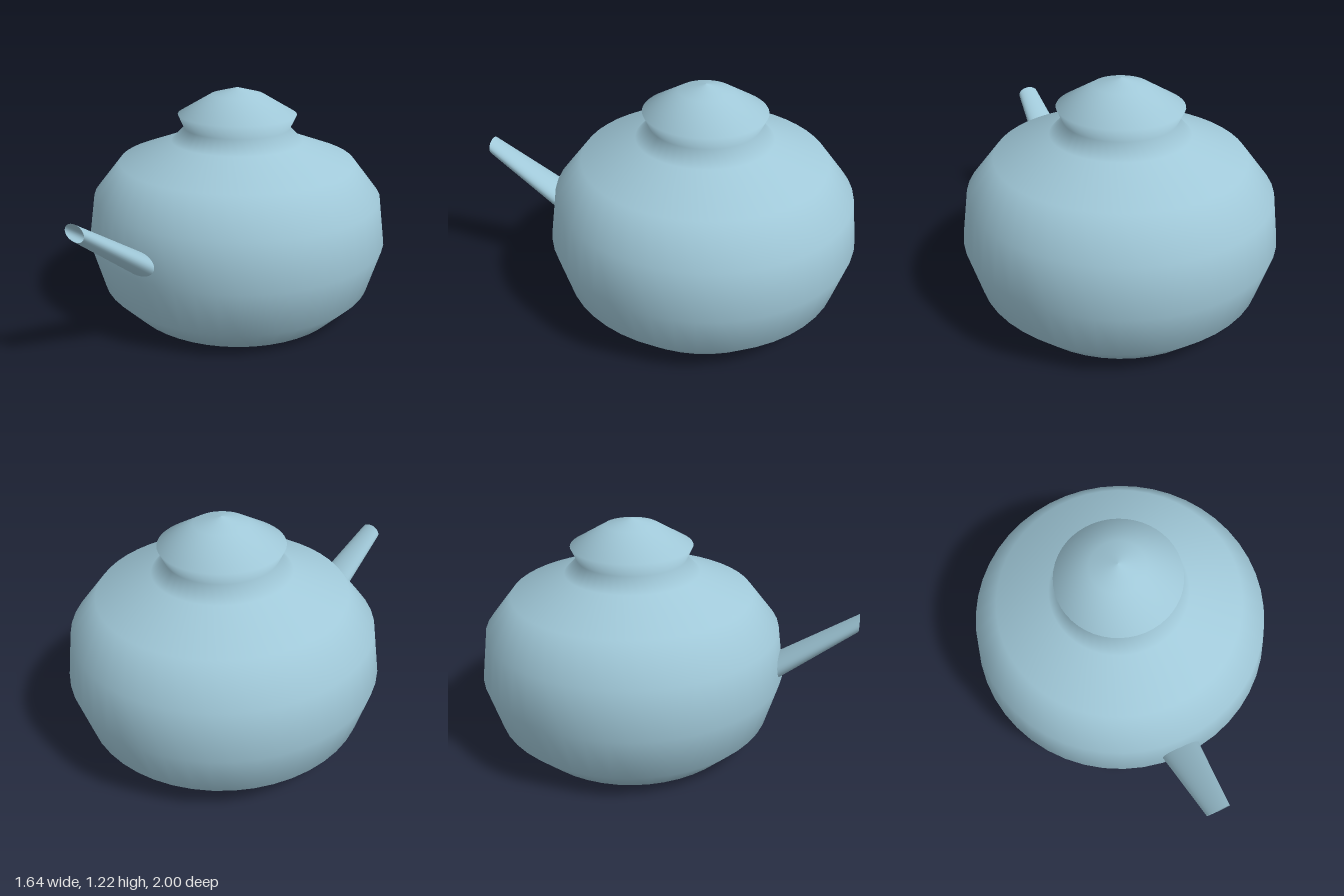
import * as THREE from 'three';

const material = new THREE.MeshStandardMaterial({ color: 0xa0c8d8, side: THREE.DoubleSide });
const lerp = THREE.MathUtils.lerp;

// Round pot and its lid, turned from one outline of [radius, height]
function makePot() {
  const profile = [
    [0, 0], [0.608, 0], [0.75, 0.147], [0.82, 0.397], [0.783, 0.645], [0.64, 0.825],
    [0.358, 0.93], [0.286, 1.0], [0.32, 1.073], [0.14, 1.178], [0, 1.215],
  ].map(([r, y]) => new THREE.Vector2(r, y));
  const pot = new THREE.Mesh(new THREE.LatheGeometry(profile, 48), material);
  pot.name = 'potWithLid';
  pot.position.z = -0.18;
  return pot;
}

// Open tapered spout, rising forward, with both ends cut upright
function makeSpout() {
  const geometry = new THREE.CylinderGeometry(1, 1, 1, 32, 1, true);
  const p = geometry.attributes.position;
  for (let i = 0; i < p.count; i++) {
    const t = p.getY(i) + 0.5; // 0 at the pot, 1 at the tip
    const x = p.getX(i) * lerp(0.105, 0.061, t);
    const y = lerp(0.471, 0.753, t) - p.getZ(i) * lerp(0.068, 0.042, t);
    p.setXYZ(i, x, y, lerp(0.615, 1, t));
  }
  geometry.computeVertexNormals();
  const spout = new THREE.Mesh(geometry, material);
  spout.name = 'spout';
  return spout;
}

export function createModel() {
  const model = new THREE.Group();
  model.name = 'teapot';
  model.add(makePot(), makeSpout());
  return model;
}
